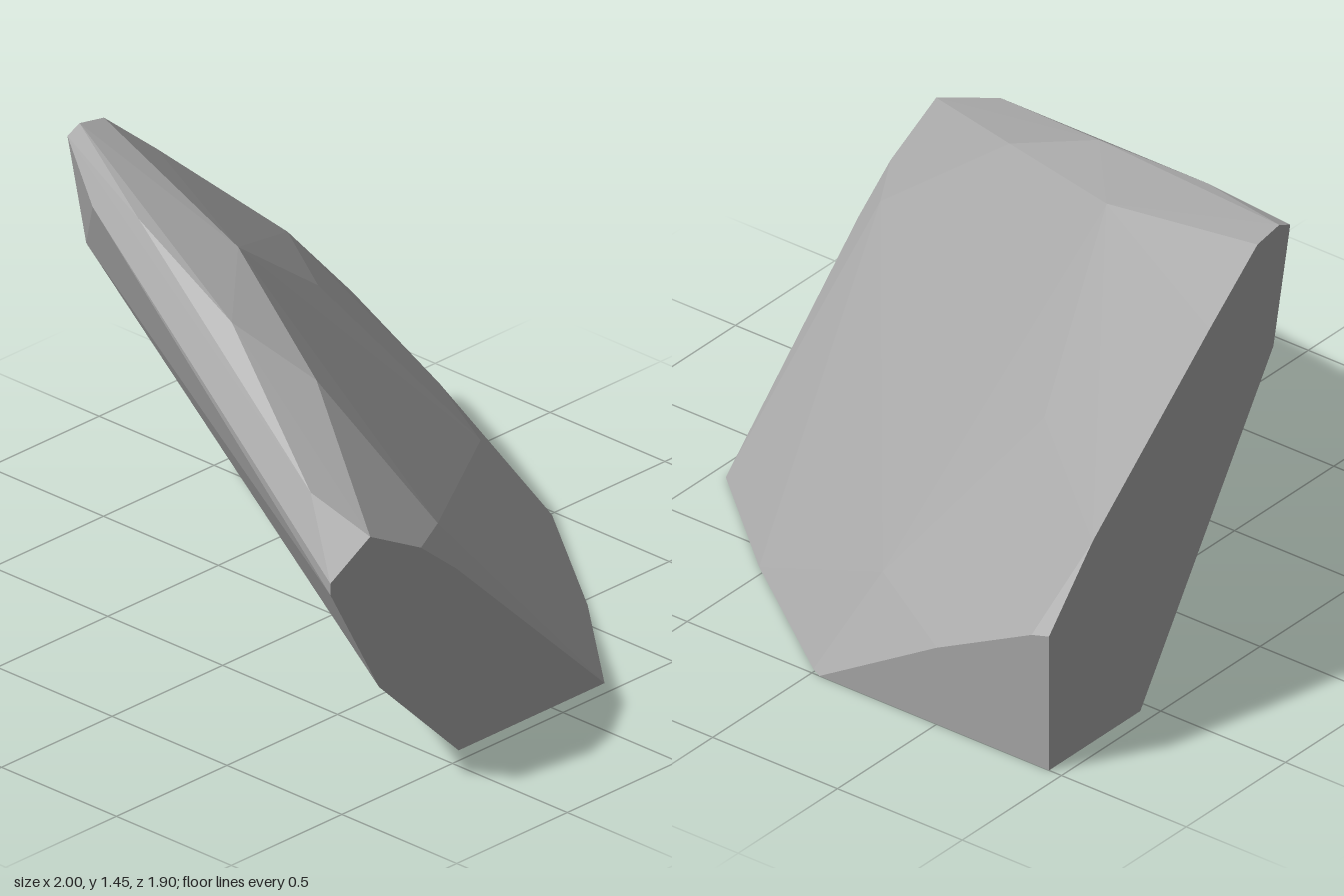
import * as THREE from 'three';
import { ConvexGeometry } from 'three/addons/geometries/ConvexGeometry.js';

export function createModel() {
  const group = new THREE.Group();
  group.name = 'rock';
  const stone = new THREE.MeshStandardMaterial({ color: 0xa6a6a6 });
  stone.name = 'grey stone';

  const F = 0.95, B = -0.95; // flat front and back cuts
  const onPlane = (z, pairs) => pairs.map(([x, y]) => [x, y, z]);
  const corners = [
    // front cut
    ...onPlane(F, [[-1, 0.79], [-0.82, 0.89], [-0.59, 0.77], [-0.43, 0.64],
      [0.24, 0], [-0.42, 0], [-0.78, 0.35], [-1, 0.75]]),
    // back cut
    ...onPlane(B, [[0.54, 0], [1, 0], [1, 0.49], [0.78, 0.735], [0.19, 1.235],
      [-0.05, 1.43], [-0.16, 1.45], [-0.215, 1.425], [-0.13, 1.02]]),
    // side cut and base outline
    [1, 0, -0.03], [1, 0.28, -0.5], [1, 0.47, -0.88], [0.98, 0, 0.01], [0.6, 0, 0.53],
    // top ridge
    [-0.34, 1.3, -0.72], [-0.36, 1.34, -0.5], [-0.51, 1.22, 0.05], [-0.84, 0.97, 0.71],
    // worn facets of the slope
    [-0.12, 1.39, -0.78], [-0.17, 1.26, -0.25], [-0.46, 1.11, 0.37], [-0.4, 0.75, 0.84],
    [0.42, 0.84, -0.47], [0.28, 0.29, 0.54], [0.77, 0.3, -0.1],
  ].map((p) => new THREE.Vector3(...p));

  const boulder = new THREE.Mesh(new ConvexGeometry(corners), stone);
  boulder.name = 'boulder';
  group.add(boulder);
  return group;
}
